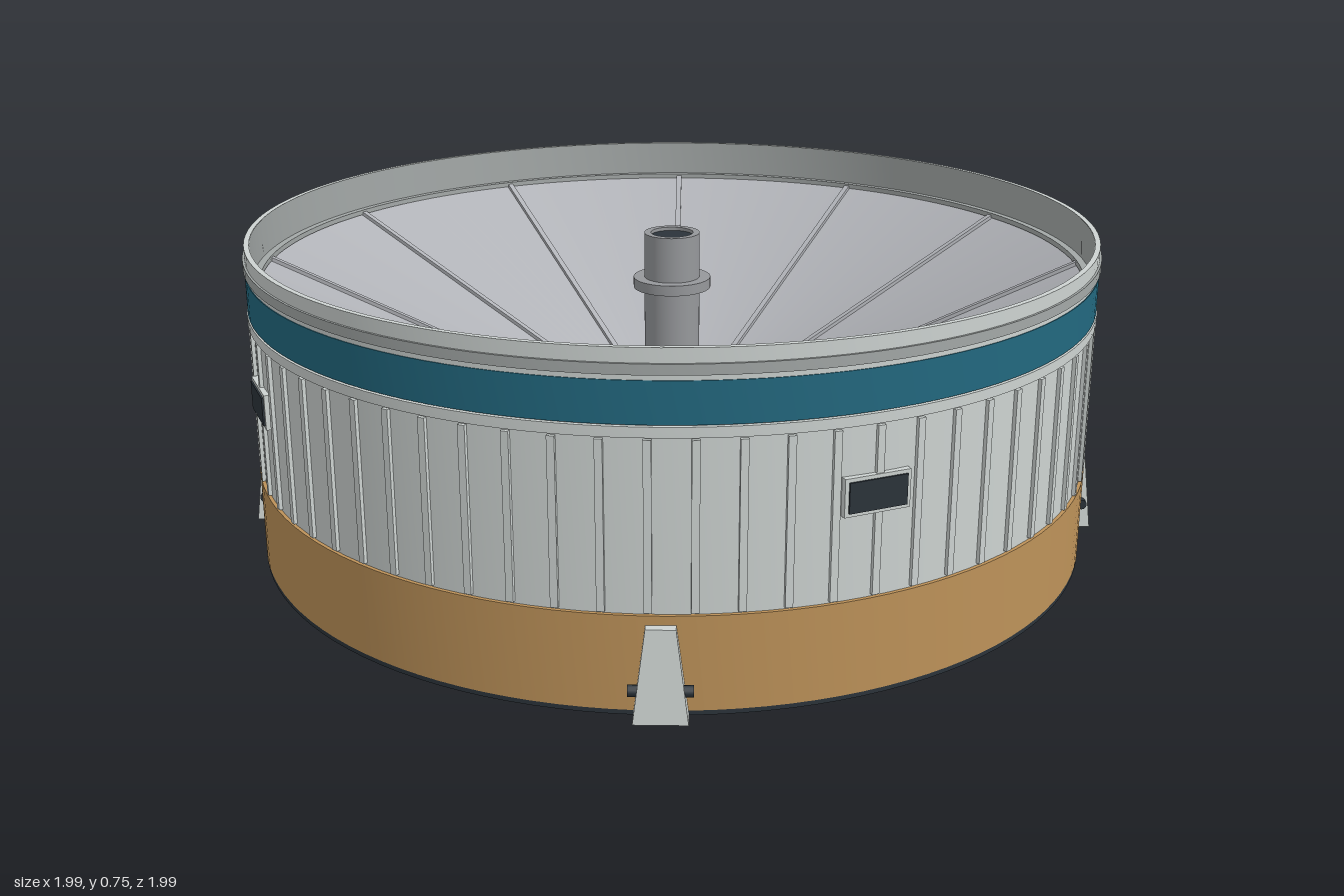
import * as THREE from 'three';
import { toCreasedNormals } from 'three/addons/utils/BufferGeometryUtils.js';

const mat = (name, color) => {
  const m = new THREE.MeshStandardMaterial({ color });
  m.name = name;
  return m;
};

export function createModel() {
  const wall = mat('pale grey panel', 0xcdd3d1);
  const tan = mat('tan skirt', 0xbd9259);
  const blue = mat('blue band', 0x22687f);
  const steel = mat('funnel steel', 0xb0b2b7);
  const trim = mat('trim grey', 0xa3a8a7);
  const tube = mat('tube grey', 0x96989b);
  const dark = mat('dark glass', 0x2b333a);

  const model = new THREE.Group();
  const add = (name, geo, material, parent = model) => {
    const mesh = new THREE.Mesh(geo, material);
    mesh.name = name;
    parent.add(mesh);
    return mesh;
  };
  // Turned part; profile runs counter-clockwise in (radius, height)
  const turned = (name, pts, material, seg = 120) => add(name,
    toCreasedNormals(new THREE.LatheGeometry(pts.map(p => new THREE.Vector2(...p)), seg), 0.5), material);
  const ring = (name, r0, r1, y0, y1, material, seg) =>
    turned(name, [[r0, y0], [r1, y0], [r1, y1], [r0, y1], [r0, y0]], material, seg);
  // Holder turned so its local +z points outward at the given angle
  const spoke = (name, degrees) => {
    const g = new THREE.Group();
    g.name = name;
    g.rotation.y = THREE.MathUtils.degToRad(degrees);
    model.add(g);
    return g;
  };
  const box = (name, w, h, d, x, y, z, material, parent) => {
    const m = add(name, new THREE.BoxGeometry(w, h, d), material, parent);
    m.position.set(x, y, z);
    return m;
  };

  // Outer shell, stacked from the ground up
  ring('bottomEdge', 0.978, 0.993, 0, 0.01, dark);
  turned('skirt', [[0.985, 0.01], [0.993, 0.01], [0.993, 0.215], [0.98, 0.215]], tan);
  turned('panelWall', [[0.985, 0.215], [0.985, 0.605]], wall);
  ring('lowerTrim', 0.98, 0.994, 0.58, 0.602, wall);
  turned('blueBand', [[0.98, 0.605], [0.992, 0.605], [0.992, 0.692], [0.98, 0.692]], blue);
  ring('upperRim', 0.978, 0.99, 0.692, 0.755, wall);
  ring('rimBand', 0.98, 0.995, 0.703, 0.725, trim);
  turned('rimLining', [[0.977, 0.755], [0.977, 0.65]], trim);

  // Vertical battens on the panel wall
  for (let i = 0; i < 68; i++) {
    const g = spoke('batten', 1.2 + i * 360 / 68);
    box('battenStrip', 0.016, 0.355, 0.012, 0, 0.3975, 0.987, wall, g);
  }

  // Four framed windows
  for (let i = 0; i < 4; i++) {
    const g = spoke('window', -20.3 + i * 90);
    box('windowFrame', 0.145, 0.08, 0.02, 0, 0.437, 0.986, wall, g);
    box('windowPane', 0.128, 0.064, 0.006, 0, 0.437, 0.997, dark, g);
  }

  // Control box with three buttons
  const control = spoke('controlBox', -73.3);
  box('controlCase', 0.2, 0.2, 0.03, 0, 0.45, 0.982, trim, control);
  for (const y of [0.4, 0.45, 0.5]) box('button', 0.03, 0.027, 0.016, 0, y, 1.003, dark, control);

  // Four tapered feet with side bolts
  const footShape = new THREE.Shape([[-0.055, 0], [0.055, 0], [0.03, 0.195], [-0.03, 0.195]]
    .map(p => new THREE.Vector2(...p)));
  const footGeo = new THREE.ExtrudeGeometry(footShape, { depth: 0.06, bevelEnabled: false });
  // Lean the outer face inward toward the top
  const fp = footGeo.attributes.position;
  for (let i = 0; i < fp.count; i++) if (fp.getZ(i) > 0.03 && fp.getY(i) > 0.1) fp.setZ(i, 0.04);
  footGeo.computeVertexNormals();
  for (let i = 0; i < 4; i++) {
    const g = spoke('foot', 45 + i * 90);
    add('footBlock', footGeo, wall, g).position.z = 0.972;
    const bolt = add('footBolt', new THREE.CylinderGeometry(0.012, 0.012, 0.13, 12), dark, g);
    bolt.rotation.z = Math.PI / 2;
    bolt.position.set(0, 0.062, 1.008);
  }

  // Funnel dish, hub and twelve seam ribs
  const r0 = 0.225, y0 = 0.315, r1 = 0.977, y1 = 0.66;
  turned('funnel', [[r1, y1], [r0, y0]], steel);
  turned('hubPlate', [[r0, y0 - 0.01], [r0, y0 + 0.008], [0.215, y0 + 0.008], [0.21, y0], [0, y0]], steel, 64);
  ring('funnelLip', 0.96, 0.98, 0.655, 0.667, trim);
  for (let i = 0; i < 12; i++) {
    const g = spoke('funnelRib', 15 + i * 30);
    const rib = box('ribStrip', 0.014, 0.012, Math.hypot(r1 - r0, y1 - y0) - 0.01,
      0, (y0 + y1) / 2 + 0.003, (r0 + r1) / 2, steel, g);
    rib.rotation.x = -Math.atan2(y1 - y0, r1 - r0);
  }

  // Central standpipe
  ring('pipeFoot', 0.05, 0.1, y0, y0 + 0.02, tube, 48);
  ring('pipe', 0.05, 0.066, y0, 0.728, tube, 48);
  ring('pipeFlange', 0.06, 0.092, 0.595, 0.62, tube, 48);
  turned('pipeMouth', [[0.052, 0.72], [0, 0.72]], dark, 48);

  // Recessed underside
  turned('skirtLining', [[0.98, 0.3], [0.98, 0.005]], wall);
  ring('liningHoop', 0.968, 0.982, 0.105, 0.15, wall);
  turned('floor', [[0, 0.262], [0.98, 0.262]], tan);
  ring('floorSeal', 0.962, 0.98, 0.252, 0.264, dark);
  ring('drainSeal', 0.208, 0.228, 0.25, 0.264, dark, 64);
  turned('drainPlate', [[0, 0.256], [0.21, 0.256]], tube, 64);
  for (let i = 0; i < 30; i++) {
    const g = spoke('floorBolt', i * 12);
    add('boltHead', new THREE.CylinderGeometry(0.008, 0.008, 0.012, 8), tube, g).position.set(0, 0.26, 0.288);
  }
  return model;
}
